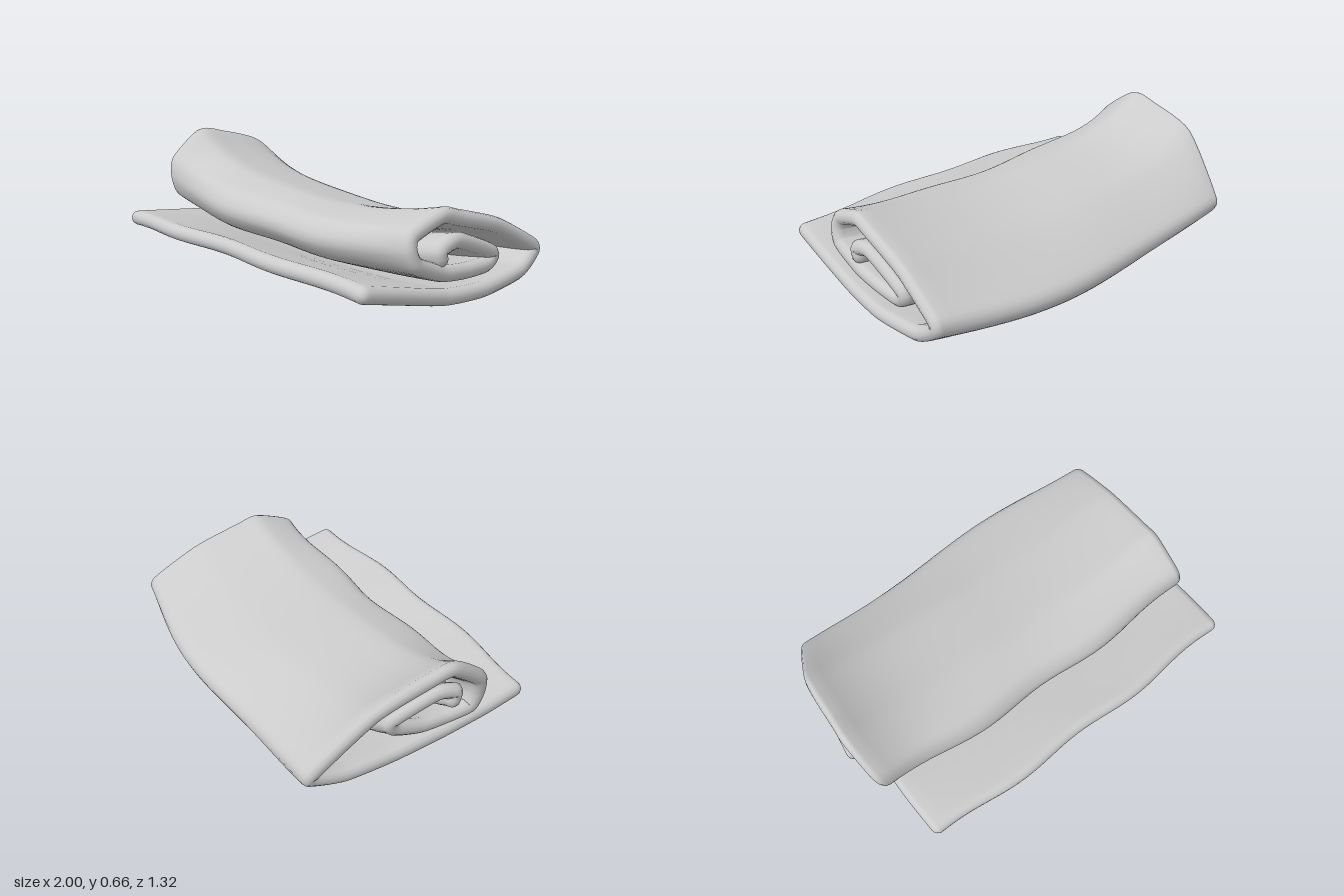
import * as THREE from 'three';
import { mergeVertices } from 'three/addons/utils/BufferGeometryUtils.js';

const H = 0.039; // half the cloth thickness

// Centre line of the rolled cloth, from front lip to innermost end, as [z, y]
const LEFT = [[.588, .225], [.38, .2], [.12, .17], [-.15, .155], [-.4, .165], [-.54, .205], [-.56, .25],
  [-.31, .52], [-.05, .6], [.08, .62], [.25, .495], [.27, .4], [.24, .32],
  [.1, .3], [-.03, .31], [-.17, .36], [-.2, .42], [0, .52], [.09, .505], [.085, .46]];
const MIDDLE = [[.612, .242], [.4, .175], [.12, .08], [-.15, .04], [-.42, .06], [-.585, .125], [-.59, .175],
  [-.3, .31], [-.02, .375], [.1, .39], [.26, .36], [.31, .3], [.26, .235],
  [.1, .182], [-.05, .157], [-.2, .155], [-.25, .2], [0, .285], [.11, .275], [.11, .245]];
const RIGHT = [[.592, .225], [.4, .18], [.12, .115], [-.13, .102], [-.4, .13], [-.525, .19], [-.54, .235],
  [-.27, .37], [0, .448], [.1, .471], [.28, .41], [.305, .35], [.27, .28],
  [.1, .212], [-.05, .193], [-.21, .193], [-.25, .245], [0, .345], [.11, .32], [.11, .28]];
// Where the two side hems lie along that line
const X_LEFT = [-.88, -.89, -.89, -.89, -.89, -.88, -.89, -.965, -.98, -.985, -.97, -.955, -.945,
  -.93, -.93, -.93, -.94, -.985, -1, -1];
const X_RIGHT = [.965, .975, .985, 1, .995, .985, .98, .96, .945, .94, .93, .94, .95,
  .95, .95, .95, .95, .95, .95, .95];

// Lengthwise curve of the cloth at w (0 = right hem, 1 = left hem)
function lengthwiseCurve(w) {
  const t = 2 * w - 1;
  const blend = (l, m, r) => m + (r - l) / 2 * t + ((l + r) / 2 - m) * t * t;
  const sag = t < 0 ? 0.15 * t * t * (1 - t * t) : 0;
  const points = MIDDLE.map((m, i) => {
    const x = THREE.MathUtils.lerp(X_LEFT[i] + H, X_RIGHT[i] - H, w);
    let z = blend(LEFT[i][0], m[0], RIGHT[i][0]);
    let y = blend(LEFT[i][1], m[1], RIGHT[i][1]);
    // The roll sags before it rises to the left end
    if (i > 6) y -= sag * (LEFT[i][1] - m[1]) / 0.23;
    // Soft waves along the front edges and the back fold
    if (i === 0 || (i > 9 && i < 13)) z -= 0.013 * Math.cos(x * 8.4);
    if (i === 5 || i === 6) z -= 0.016 * Math.sin(x * 4.5);
    return new THREE.Vector3(x, y, z);
  });
  return new THREE.CatmullRomCurve3(points, false, 'catmullrom', 0.32);
}

function clothGeometry() {
  const COLS = 32, STEPS = 120, CAP = 4, ARC = 6;

  // Stations along the cloth, with rounded ends
  const stations = [];
  for (let k = 0; k < CAP; k++) {
    const a = k / CAP * Math.PI / 2;
    stations.push({ u: 0, push: -H * Math.cos(a), half: H * Math.sin(a) });
  }
  for (let i = 0; i <= STEPS; i++) stations.push({ u: i / STEPS, push: 0, half: H });
  for (let k = CAP - 1; k >= 0; k--) {
    const a = k / CAP * Math.PI / 2;
    stations.push({ u: 1, push: H * Math.cos(a), half: H * Math.sin(a) });
  }

  // One ring round the thickness: upper face, hem, lower face, hem
  const ring = [];
  for (let c = 0; c <= COLS; c++) ring.push({ c, n: 1, e: 0 });
  for (let k = 1; k < ARC; k++) {
    const a = k / ARC * Math.PI;
    ring.push({ c: COLS, n: Math.cos(a), e: Math.sin(a) });
  }
  for (let c = COLS; c >= 0; c--) ring.push({ c, n: -1, e: 0 });
  for (let k = 1; k < ARC; k++) {
    const a = k / ARC * Math.PI;
    ring.push({ c: 0, n: -Math.cos(a), e: -Math.sin(a) });
  }

  const curves = Array.from({ length: COLS + 1 }, (_, c) => lengthwiseCurve(c / COLS));
  const positions = [], index = [];
  stations.forEach(({ u, push, half }, i) => {
    const frames = curves.map((curve) => {
      const p = curve.getPoint(u), t = curve.getTangent(u).setX(0).normalize();
      return { p: p.addScaledVector(t, push), n: new THREE.Vector3(0, -t.z, t.y) };
    });
    ring.forEach(({ c, n, e }, j) => {
      const v = frames[c].p.clone().addScaledVector(frames[c].n, n * half);
      positions.push(v.x + e * half, v.y, v.z);
      if (i === stations.length - 1) return;
      const a = i * ring.length + j, b = i * ring.length + (j + 1) % ring.length;
      index.push(a, b, a + ring.length, b, b + ring.length, a + ring.length);
    });
  });

  let geometry = new THREE.BufferGeometry();
  geometry.setAttribute('position', new THREE.Float32BufferAttribute(positions, 3));
  geometry.setIndex(index);
  geometry = mergeVertices(geometry, 1e-5);
  geometry.computeVertexNormals();
  return geometry;
}

export function createModel() {
  const group = new THREE.Group();
  group.name = 'rolledTowel';
  const cloth = new THREE.Mesh(clothGeometry(), new THREE.MeshStandardMaterial({ color: 0xcccccc }));
  cloth.name = 'towelCloth';
  group.add(cloth);
  return group;
}
